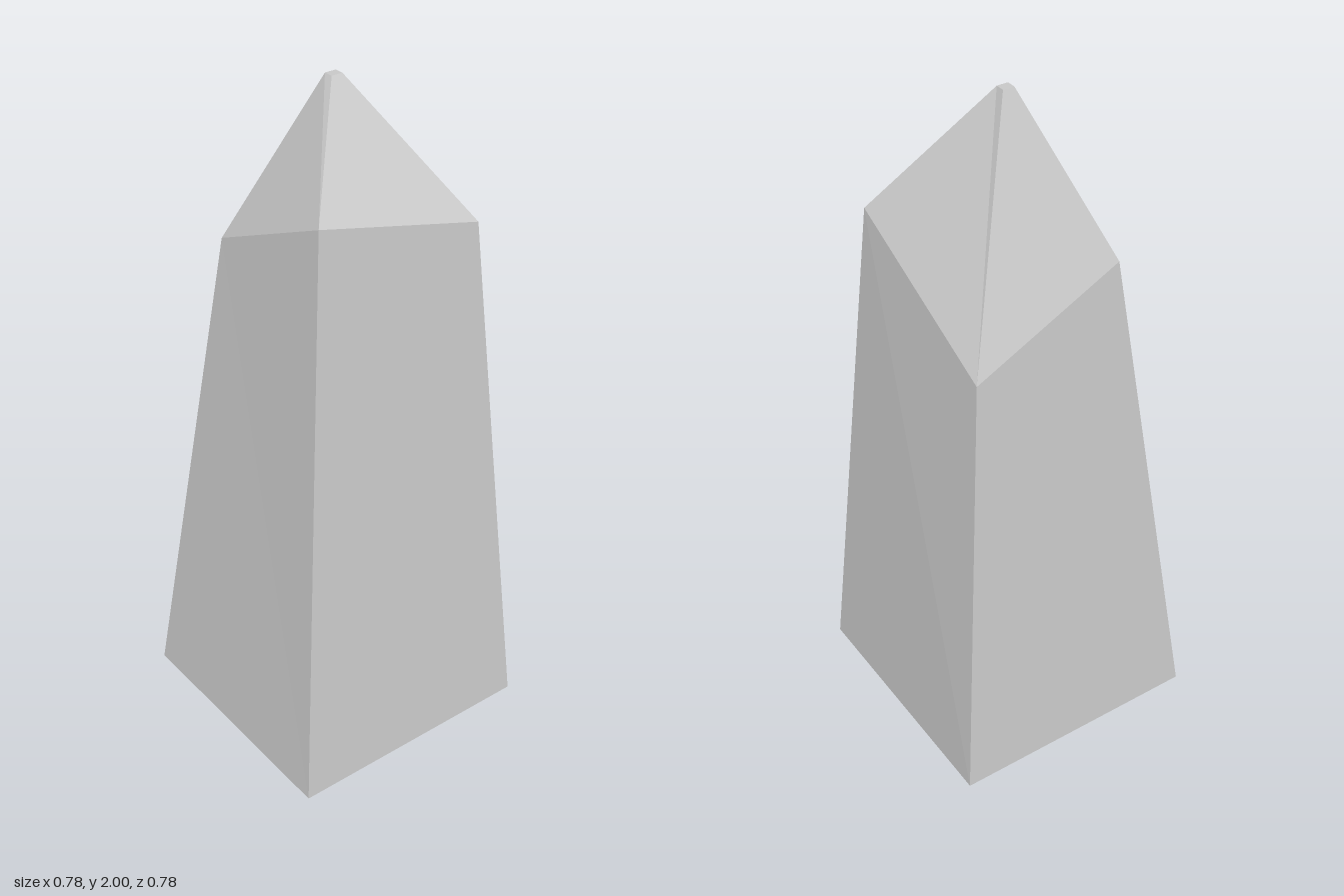
import * as THREE from 'three';

// Cross-sections from the ground up; corners run counter-clockwise seen from above,
// starting at the front corner on the -x side.
const base = [[-0.39, 0, 0.39], [0.39, 0, 0.39], [0.39, 0, -0.39], [-0.39, 0, -0.39]];
const shoulder = [[-0.2, 1.7, 0.2], [0.27, 1.61, 0.27], [0.27, 1.35, -0.27], [-0.22, 1.52, -0.21]];
const tip = [[-0.017, 2, 0.013], [0.017, 2, 0.013], [0.017, 2, -0.015], [-0.017, 2, -0.015]];

// Skin between two cross-sections
function band(lower, upper) {
  const points = [];
  for (let i = 0; i < 4; i++) {
    const j = (i + 1) % 4;
    points.push(lower[i], lower[j], upper[i], lower[j], upper[j], upper[i]);
  }
  return points;
}

// Flat cap on a cross-section, facing up
const cap = ([a, b, c, d]) => [a, b, c, a, c, d];

function part(name, points, material) {
  const geometry = new THREE.BufferGeometry();
  geometry.setAttribute('position', new THREE.Float32BufferAttribute(points.flat(), 3));
  geometry.computeVertexNormals();
  const mesh = new THREE.Mesh(geometry, material);
  mesh.name = name;
  return mesh;
}

export function createModel() {
  const group = new THREE.Group();
  group.name = 'crystalObelisk';
  const material = new THREE.MeshStandardMaterial({ color: 0xcccccc, flatShading: true });

  // Tapered shaft with a closed underside
  group.add(part('shaft', [...band(base, shoulder), ...cap([...base].reverse())], material));

  // Slanted point with a tiny flat top
  group.add(part('point', [...band(shoulder, tip), ...cap(tip)], material));

  return group;
}
